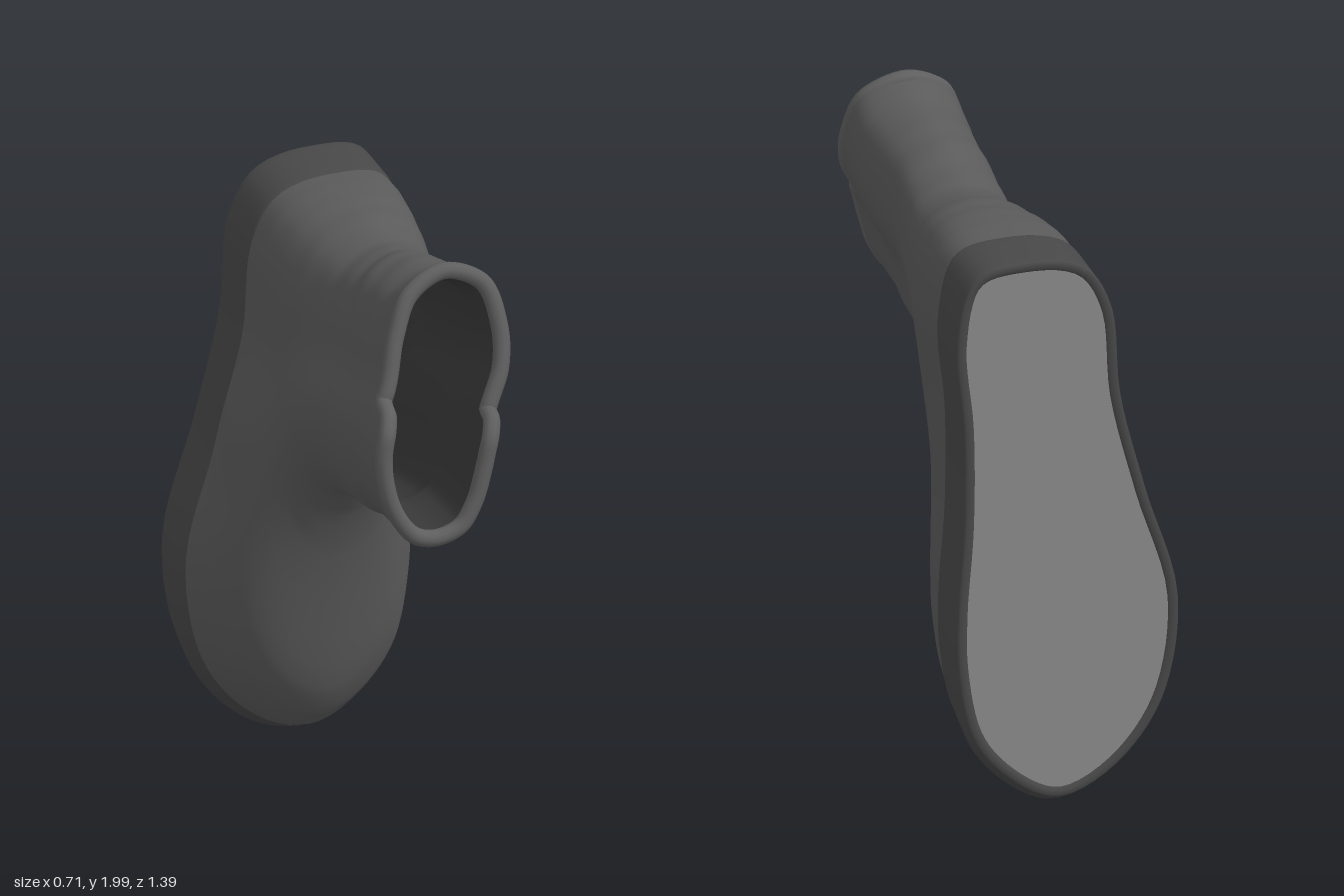
import * as THREE from 'three';

// Footprint and shaft opening, matching points counter-clockwise from the bottom
const FOOT = [[.02, 0], [.19, .095], [.305, .26], [.35, .5], [.352, .7], [.332, 1], [.332, 1.35], [.355, 1.65], [.31, 1.865],
  [.135, 1.915], [-.07, 1.855], [-.145, 1.7], [-.17, 1.4], [-.25, 1.05], [-.355, .65], [-.318, .33], [-.19, .115]];
const SHAFT = [[.03, 1.18], [.12, 1.21], [.175, 1.29], [.21, 1.4], [.23, 1.48], [.262, 1.56], [.312, 1.67], [.322, 1.8], [.275, 1.945],
  [.14, 2], [.01, 1.94], [-.055, 1.82], [-.095, 1.68], [-.15, 1.54], [-.155, 1.42], [-.12, 1.29], [-.05, 1.2]];

// z, lowest y, highest y, blend from footprint to shaft
const KEYS = [[-.69, .05, 1.91, 0], [-.62, .01, 1.91, 0], [-.5, .06, 1.905, 0], [-.4, .11, 1.905, .06], [-.3, .19, 1.9, .2],
  [-.25, .28, 1.89, .3], [-.22, .41, 1.89, .4], [-.19, .6, 1.885, .5], [-.15, .8, 1.87, .65], [-.1, .94, 1.86, .78],
  [-.05, 1.02, 1.855, .86], [0, 1.06, 1.865, .92], [.07, 1.09, 1.885, .96], [.15, 1.11, 1.92, 1], [.25, 1.125, 1.935, 1],
  [.35, 1.14, 1.95, 1], [.41, 1.175, 1.98, 1], [.46, 1.18, 2, 1]];

const N = FOOT.length * 6;
const lerp = THREE.MathUtils.lerp;
const bump = (v, centre, width) => Math.exp(-(((v - centre) / width) ** 2));

function smoothLoop(points) {
  const ys = points.map(p => p[1]), lo = Math.min(...ys), hi = Math.max(...ys);
  const curve = new THREE.CatmullRomCurve3(points.map(p => new THREE.Vector3(p[0], (p[1] - lo) / (hi - lo), 0)), true);
  return curve.getPoints(N).slice(0, N);
}
const foot = smoothLoop(FOOT), shaft = smoothLoop(SHAFT);

// Cross-section of the boot at distance z along the leg
function section(z) {
  let k = 0;
  while (k < KEYS.length - 2 && z > KEYS[k + 1][0]) k++;
  const a = KEYS[k], b = KEYS[k + 1];
  const t = THREE.MathUtils.clamp((z - a[0]) / (b[0] - a[0]), 0, 1);
  const [lo, hi, mix] = [1, 2, 3].map(i => lerp(a[i], b[i], t));
  const ankle = 1 - .11 * bump(z, .1, .19);
  const dome = .2 * bump(z, -.18, .13);
  return foot.map((f, i) => {
    const p = f.clone().lerp(shaft[i], mix);
    const y = lerp(lo, hi, p.y);
    // Drawn in at the ankle, rounded over the instep, fuller at the inner arch
    let x = p.x > 0 ? p.x * ankle : p.x;
    x = lerp(x, .04, dome * (1 - THREE.MathUtils.smoothstep(p.y, .25, .7)));
    if (p.x < 0) x -= .035 * bump(y, 1.17, .18) * bump(z, -.34, .13);
    return new THREE.Vector3(x, y, z);
  });
}

// Move a loop inward along its normals
function inset(loop, d) {
  return loop.map((p, i) => {
    const a = loop[(i + N - 1) % N], b = loop[(i + 1) % N];
    const len = Math.hypot(b.x - a.x, b.y - a.y) || 1;
    return new THREE.Vector3(p.x - d * (b.y - a.y) / len, p.y + d * (b.x - a.x) / len, p.z);
  });
}

function loft(rings) {
  const pos = [], index = [];
  rings.forEach(r => r.forEach(p => pos.push(p.x, p.y, p.z)));
  for (let i = 0; i < rings.length - 1; i++) {
    for (let j = 0; j < N; j++) {
      const a = i * N + j, b = i * N + (j + 1) % N;
      index.push(a, b, a + N, b, b + N, a + N);
    }
  }
  const g = new THREE.BufferGeometry();
  g.setAttribute('position', new THREE.Float32BufferAttribute(pos, 3));
  g.setIndex(index);
  g.computeVertexNormals();
  return g;
}

function cap(loop, z) {
  const g = new THREE.ShapeGeometry(new THREE.Shape(loop.map(p => new THREE.Vector2(p.x, p.y))));
  return g.translate(0, 0, z);
}

// Rim height: long front half with rounded corners, a notch on each side, slanting back half
function rimZ(p) {
  const notch = p.x > .1 ? 1.54 : 1.615;
  if (p.y >= notch) return .44 + (2 - p.y) * .29;
  return .675 - (p.y - 1.18) * .05 - .045 * Math.max(0, 1 - (notch - p.y) / .07) ** 2;
}

// Soft folds around the ankle, fading towards foot and rim
function wrinkle(loop, z) {
  const fade = bump(z, .1, .17);
  return loop.map((p, i) => {
    const q = (p.y - 1.5) * 2;
    const d = fade * .008 * Math.sin(z * 48 + 2.2 * Math.sin(p.x * 7) + q) * (.5 + .5 * Math.sin(i * Math.PI * 4 / N));
    return new THREE.Vector3(p.x * (1 + d), p.y + d * q, p.z);
  });
}

export function createModel() {
  const group = new THREE.Group();
  const add = (name, geometry, color) => {
    const m = new THREE.Mesh(geometry, new THREE.MeshStandardMaterial({ color, side: THREE.DoubleSide }));
    m.name = name;
    group.add(m);
  };

  // Sole wall with a thin raised edge around the tread
  const base = section(-.69);
  const at = (loop, z) => loop.map(p => new THREE.Vector3(p.x, p.y, z));
  const wall = [at(inset(base, .032), -.682), at(inset(base, .022), -.69), at(inset(base, .006), -.69), at(base, -.684)];
  for (const z of [-.66, -.62, -.58, -.54, -.5]) wall.push(section(z));
  wall.push(inset(section(-.49), .004));
  add('soleWall', loft(wall), 0x484848);

  // Tread, slightly recessed
  add('tread', cap(inset(base, .032), -.682), 0x8a8a8a);

  // Upper: foot, ankle and shaft
  const upper = [];
  for (let i = 0; i <= 50; i++) {
    const z = lerp(-.5, .41, i / 50);
    upper.push(wrinkle(inset(section(z), .005 * Math.max(0, 1 - (z + .5) / .1)), z));
  }
  // Shaft end runs up to the notched rim
  const end = section(.46), start = section(.41);
  const toRim = (t, d) => inset(start.map((p, i) => {
    const q = p.clone().lerp(end[i], Math.min(1, t * 1.5));
    q.z = lerp(.41, rimZ(end[i]), t);
    return q;
  }), d);
  for (const t of [.2, .4, .6, .8, 1]) upper.push(toRim(t, 0));
  add('upper', loft(upper), 0x5a5a5a);

  // Rolled binding that follows the rim and its notches
  const rim = new THREE.CatmullRomCurve3(toRim(1, .022), true);
  add('rimBinding', new THREE.TubeGeometry(rim, 240, .027, 10, true), 0x5f5f5f);

  // Lining, tapering down to the insole
  const lining = [1, .75, .5, .25, 0].map(t => toRim(t, .045));
  for (let i = 1; i <= 24; i++) {
    const t = i / 24, z = lerp(.41, -.42, t);
    lining.push(inset(section(z), .045 + .045 * t * t));
  }
  add('lining', loft(lining), 0x383838);
  add('insole', cap(lining.at(-1), -.42), 0x2b2b2b);

  return group;
}
